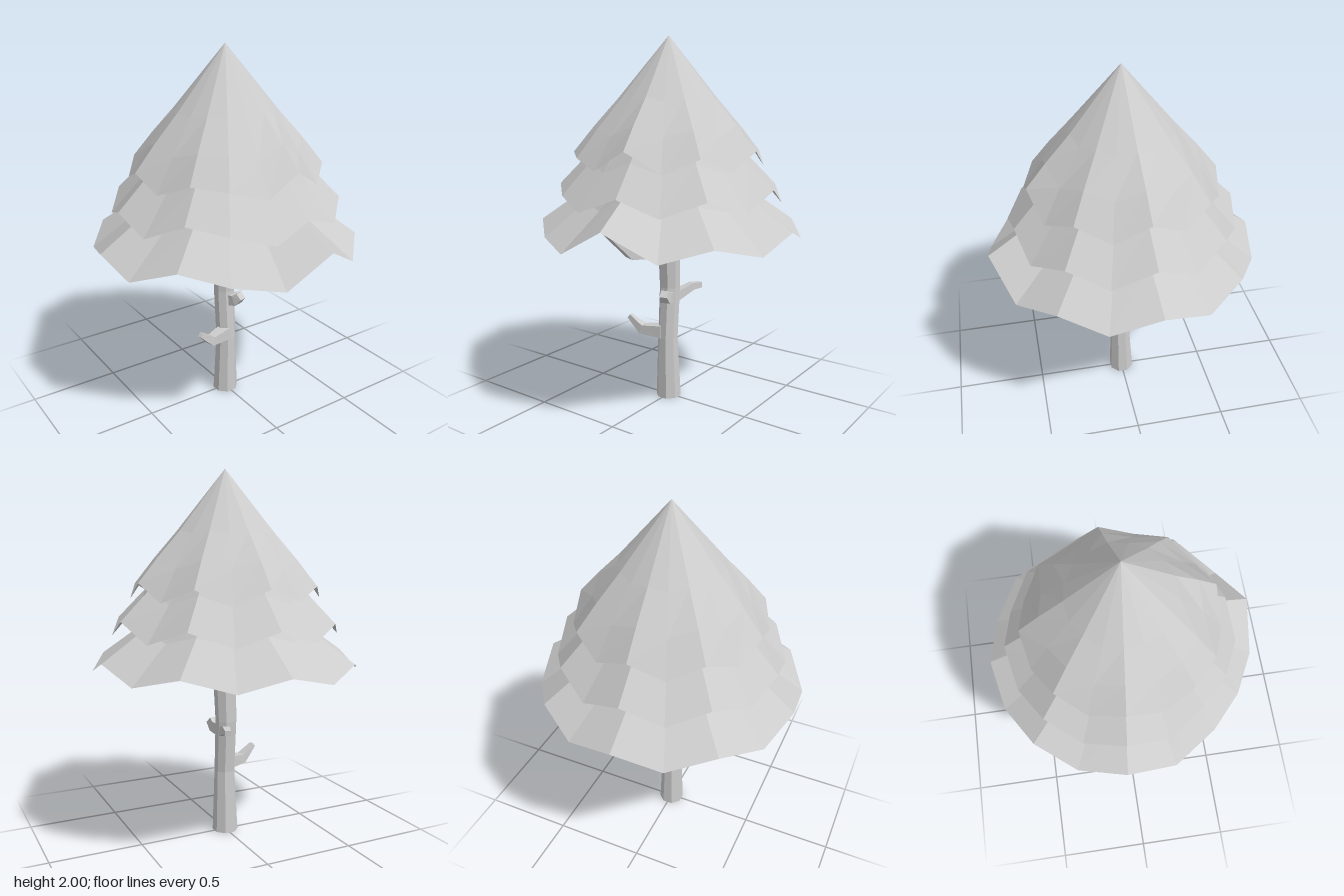
import * as THREE from 'three';

const SIDES = 17;
const bark = new THREE.MeshStandardMaterial({ color: 0xcccccc, flatShading: true });
const leaf = new THREE.MeshStandardMaterial({ color: 0xcccccc, flatShading: true, side: THREE.DoubleSide });

function meshFrom(name, positions, index, material) {
  const geo = new THREE.BufferGeometry();
  geo.setAttribute('position', new THREE.Float32BufferAttribute(positions, 3));
  geo.setIndex(index);
  geo.computeVertexNormals();
  const mesh = new THREE.Mesh(geo, material);
  mesh.name = name;
  return mesh;
}

// Capped limb: rings of n corners around a path of [x, y, z, radius]
function limb(name, path, n) {
  const pts = path.map(p => new THREE.Vector3(p[0], p[1], p[2]));
  const pos = [], idx = [];
  const last = pts.length - 1;
  pts.forEach((p, i) => {
    const dir = pts[Math.min(i + 1, last)].clone().sub(pts[Math.max(i - 1, 0)]).normalize();
    if (n > 4) dir.set(0, 1, 0); // trunk sections stay level
    const ref = Math.abs(dir.y) > 0.95 ? new THREE.Vector3(0, 0, 1) : new THREE.Vector3(0, 1, 0);
    const u = ref.cross(dir).normalize();
    const v = dir.clone().cross(u);
    for (let k = 0; k < n; k++) {
      const a = (k + 0.5) / n * Math.PI * 2;
      const q = p.clone().addScaledVector(u, Math.cos(a) * path[i][3]).addScaledVector(v, Math.sin(a) * path[i][3]);
      pos.push(q.x, q.y, q.z);
    }
  });
  for (let i = 0; i < last; i++) {
    for (let k = 0; k < n; k++) {
      const a = i * n + k, b = i * n + (k + 1) % n;
      idx.push(a, b, b + n, a, b + n, a + n);
    }
  }
  for (let k = 1; k < n - 1; k++) {
    idx.push(0, k + 1, k, last * n, last * n + k, last * n + k + 1);
  }
  return meshFrom(name, pos, idx, bark);
}

// Open pleated cone of foliage: rings of [radius, y, pleat share] below the apex.
// Odd corners drop by `drop`; `tweaks` maps a corner to [radius scale, lift].
function foliageTier(name, apexY, rings, drop, tweaks) {
  const pos = [0, apexY, 0], idx = [];
  for (const [r, y, share] of rings) {
    for (let k = 0; k < SIDES; k++) {
      const a = k / SIDES * Math.PI * 2;
      const isLow = k < 10 ? k % 2 === 1 : k > 11 && k % 2 === 0;
      const [scale, lift] = tweaks[k] ?? [1, isLow ? -drop : 0];
      const rk = r * (1 + (scale - 1) * share);
      pos.push(Math.sin(a) * rk, y + lift * share, -Math.cos(a) * rk);
    }
  }
  for (let k = 0; k < SIDES; k++) {
    const next = (k + 1) % SIDES;
    idx.push(0, 1 + next, 1 + k);
    for (let i = 0; i < rings.length - 1; i++) {
      const a = 1 + i * SIDES + k, b = 1 + i * SIDES + next;
      idx.push(a, b, b + SIDES, a, b + SIDES, a + SIDES);
    }
  }
  return meshFrom(name, pos, idx, leaf);
}

export function createModel() {
  const group = new THREE.Group();
  group.name = 'tree';

  // Slightly bent trunk
  group.add(limb('trunk', [
    [0, 0, 0, 0.071], [0, 0.35, 0.008, 0.056], [0, 0.64, -0.012, 0.058],
    [0.002, 0.83, -0.003, 0.062], [0.014, 1.0, -0.02, 0.047], [0.012, 1.42, -0.02, 0.042]], 8));

  // Main branches reaching into the foliage
  group.add(limb('leftBranch', [[0.01, 0.86, 0, 0.055], [0.13, 0.985, 0.055, 0.046], [0.28, 1.16, 0.11, 0.038]], 4));
  group.add(limb('backBranch', [[0.01, 0.86, -0.02, 0.055], [0.01, 0.94, -0.11, 0.048], [0.015, 1.13, -0.24, 0.038]], 4));
  group.add(limb('frontBranch', [[0, 0.872, 0, 0.075], [-0.1, 0.87, 0.2, 0.065], [-0.18, 1.05, 0.38, 0.04]], 4));

  // Small twigs on the bare trunk
  group.add(limb('rightTwig', [[-0.02, 0.385, 0.03, 0.05], [-0.14, 0.385, 0.065, 0.036], [-0.218, 0.45, 0.08, 0.018]], 4));
  group.add(limb('frontTwig', [[0.015, 0.585, 0.01, 0.045], [0.03, 0.595, 0.07, 0.042], [0.04, 0.625, 0.1, 0.03]], 4));
  group.add(limb('backTwig', [[0.02, 0.58, -0.02, 0.038], [0.06, 0.622, -0.14, 0.028], [0.08, 0.62, -0.2, 0.022]], 4));

  // Three overlapping foliage tiers
  group.add(foliageTier('topFoliage', 2.0,
    [[0.27, 1.675, 0.2], [0.4, 1.53, 0.6], [0.51, 1.395, 1]], 0.07,
    { 4: [1, 0.02], 8: [0.99, 0.035], 10: [1, -0.02] }));
  group.add(foliageTier('middleFoliage', 1.85,
    [[0.3, 1.54, 0.25], [0.45, 1.365, 0.7], [0.61, 1.205, 1]], 0.075,
    { 4: [1, 0.02], 8: [0.96, 0.005], 10: [0.97, -0.02], 11: [0.96, 0.02] }));
  group.add(foliageTier('bottomFoliage', 1.68,
    [[0.28, 1.38, 0.25], [0.48, 1.165, 0.7], [0.718, 1.0, 1]], 0.06,
    { 4: [1, 0.02], 6: [0.985, 0], 8: [1.02, 0.08], 10: [0.96, -0.025], 11: [0.96, 0.03] }));
  return group;
}
